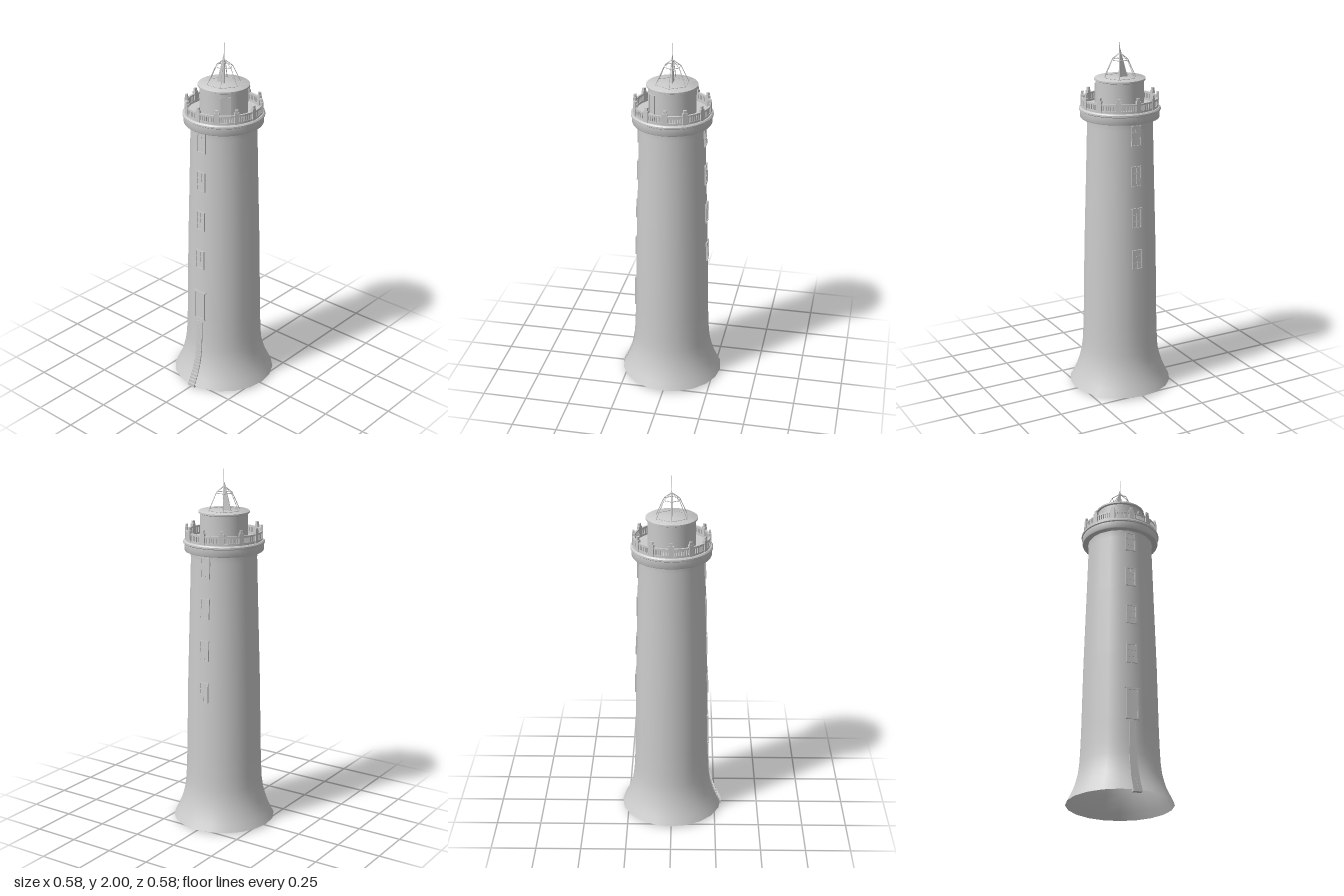
import * as THREE from 'three';
import { toCreasedNormals } from 'three/addons/utils/BufferGeometryUtils.js';

const mat = new THREE.MeshStandardMaterial({ color: 0xcccccc, side: THREE.DoubleSide });

// tower profile as [radius, height]
const WALL = [[0.288, 0.01], [0.268, 0.05], [0.25, 0.09], [0.235, 0.135], [0.224, 0.18],
  [0.217, 0.23], [0.213, 0.3], [0.209, 0.42], [0.202, 0.8], [0.19, 1.2], [0.181, 1.52], [0.184, 1.56]];

function wallRadius(y) {
  for (let i = 1; i < WALL.length; i++) {
    const [r0, y0] = WALL[i - 1], [r1, y1] = WALL[i];
    if (y <= y1) return r0 + (r1 - r0) * Math.max(0, (y - y0) / (y1 - y0));
  }
  return WALL[WALL.length - 1][0];
}

function add(parent, name, geometry, x = 0, y = 0, z = 0) {
  const mesh = new THREE.Mesh(geometry, mat);
  mesh.name = name;
  mesh.position.set(x, y, z);
  parent.add(mesh);
  return mesh;
}

function box(parent, name, w, h, d, x, y, z) {
  return add(parent, name, new THREE.BoxGeometry(w, h, d), x, y, z);
}

function lathe(parent, name, pts, sides, crease) {
  const g = new THREE.LatheGeometry(pts.map(([r, y]) => new THREE.Vector2(r, y)), sides);
  return add(parent, name, crease ? toCreasedNormals(g, 0.6) : g);
}

function bar(parent, name, a, b, radius) {
  const dir = b.clone().sub(a);
  const mesh = add(parent, name, new THREE.CylinderGeometry(radius, radius, dir.length(), 6));
  mesh.position.copy(a).add(b).multiplyScalar(0.5);
  mesh.quaternion.setFromUnitVectors(new THREE.Vector3(0, 1, 0), dir.normalize());
}

// group turned about the tower axis; its local +z points outwards
function around(parent, name, angle) {
  const g = new THREE.Group();
  g.name = name;
  g.rotation.y = angle;
  parent.add(g);
  return g;
}

// upright frame with a pane and glazing bars, origin at its centre
function opening(parent, name, w, h, y, r, rows, cols, lean) {
  const g = new THREE.Group();
  g.name = name;
  g.position.set(0, y, r);
  g.rotation.x = -lean;
  parent.add(g);
  const t = 0.006;
  box(g, 'pane', w - t, h - t, 0.008, 0, 0, -0.004);
  for (const s of [-1, 1]) {
    box(g, 'jamb', t, h, 0.014, s * (w - t) / 2, 0, -0.003);
    box(g, 'crosspiece', w, t, 0.014, 0, s * (h - t) / 2, -0.003);
  }
  for (let i = 1; i < rows; i++) box(g, 'glazingBar', w - t, 0.004, 0.008, 0, h * (i / rows - 0.5), -0.002);
  for (let i = 1; i < cols; i++) box(g, 'mullion', 0.004, h - t, 0.008, w * (i / cols - 0.5), 0, -0.002);
  return g;
}

export function createModel() {
  const model = new THREE.Group();
  model.name = 'lighthouse';

  // flared tower, open underneath
  lathe(model, 'tower', WALL, 20, false);

  // windows on the front and back
  for (const angle of [0, Math.PI]) {
    const side = around(model, 'windowColumn', angle);
    for (const y of [0.797, 1.033, 1.267, 1.49])
      opening(side, 'window', 0.058, 0.113, y, wallRadius(y), 3, 2, 0.028);
  }

  // entrance door with lintel and sill
  const door = opening(model, 'door', 0.068, 0.17, 0.505, wallRadius(0.505), 1, 1, 0.018);
  box(door, 'lintel', 0.084, 0.006, 0.012, 0, 0.088, -0.003);
  box(door, 'sill', 0.076, 0.006, 0.014, 0, -0.086, -0.002);

  // steps following the flare up to the door
  const steps = 22, rise = 0.4 / steps;
  for (let i = 0; i < steps; i++) {
    const y = i * rise;
    const w = 0.038 + 0.01 * (1 - i / steps) ** 2;
    box(model, 'step', w, rise, 0.026, 0, y + rise / 2, wallRadius(y + rise / 2) - 0.011);
  }

  // gallery deck
  lathe(model, 'gallery', [[0.175, 1.56], [0.213, 1.56], [0.216, 1.565], [0.216, 1.6], [0.222, 1.604],
    [0.222, 1.613], [0.216, 1.62], [0, 1.62]], 48, true);

  // balustrade: rings, posts and balusters
  const rail = (name, y0, y1) => lathe(model, name,
    [[0.198, y0], [0.209, y0], [0.209, y1], [0.198, y1], [0.198, y0]], 48, true);
  rail('bottomRail', 1.62, 1.632);
  rail('topRail', 1.66, 1.67);
  for (let i = 0; i < 12; i++) {
    const bay = around(model, 'balustradeBay', i * Math.PI / 6);
    box(bay, 'post', 0.027, 0.064, 0.015, 0, 1.652, 0.204);
    box(bay, 'postCap', 0.016, 0.016, 0.012, 0, 1.692, 0.204);
    for (let k = 0; k < 6; k++) {
      const turn = around(bay, 'balusterMount', Math.PI / 12 + (k - 2.5) * 0.064);
      box(turn, 'baluster', 0.0085, 0.03, 0.007, 0, 1.646, 0.2035);
    }
  }

  // lantern room with a flat rimmed roof
  lathe(model, 'lanternRoom', [[0.13, 1.62], [0.13, 1.762], [0.139, 1.766], [0.139, 1.775],
    [0.136, 1.777], [0, 1.777]], 48, true);
  opening(around(model, 'lanternDoorMount', Math.PI / 4), 'lanternDoor', 0.056, 0.115, 1.685, 0.13, 1, 1, 0);

  // six-sided cage above the roof
  const corner = (i, r, y) => new THREE.Vector3(r * Math.cos(i * Math.PI / 3), y, r * Math.sin(i * Math.PI / 3));
  const apex = new THREE.Vector3(0, 1.91, 0);
  for (let i = 0; i < 6; i++) {
    bar(model, 'cageLeg', corner(i, 0.094, 1.777), corner(i, 0.048, 1.872), 0.002);
    bar(model, 'cageRafter', corner(i, 0.048, 1.872), apex, 0.002);
    bar(model, 'cageRing', corner(i, 0.048, 1.872), corner(i + 1, 0.048, 1.872), 0.002);
    bar(model, 'cageFoot', corner(i, 0.094, 1.779), corner(i + 1, 0.094, 1.779), 0.0015);
  }

  // tapering fin and mast in the cage
  const fin = new THREE.Shape([new THREE.Vector2(-0.046, 1.777), new THREE.Vector2(0.004, 1.777),
    new THREE.Vector2(0.003, 1.93), new THREE.Vector2(-0.002, 1.93)]);
  add(model, 'fin', new THREE.ExtrudeGeometry(fin, { depth: 0.004, bevelEnabled: false }), 0, 0, -0.002);
  add(model, 'mast', new THREE.CylinderGeometry(0.002, 0.005, 0.173, 8), 0.002, 1.8635, 0);
  add(model, 'mastTip', new THREE.CylinderGeometry(0.0005, 0.0015, 0.05, 6), 0.002, 1.975, 0);
  return model;
}
